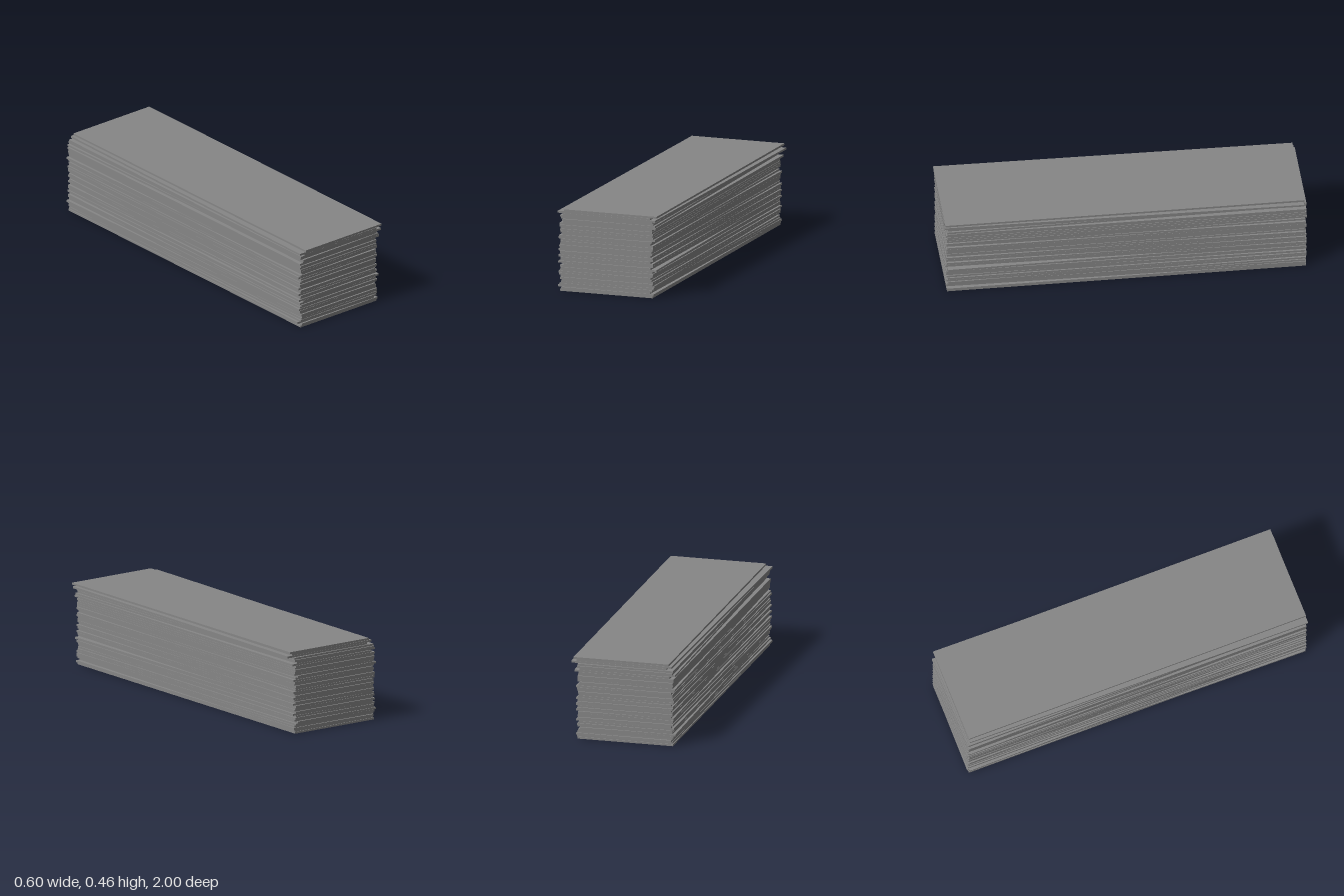
import * as THREE from 'three';

const WIDTH = 0.54, LENGTH = 1.975, THICKNESS = 0.0108, PITCH = 0.01123;

// Each sheet, bottom to top: x of its front left-hand edge (thousandths), sideways drift towards the back (thousandths)
const SHEETS = [
  [-282, 0], [-276, -2], [-298, 24], [-285, 6], [-277, -8], [-273, -23], [-280, 0],
  [-280, 0], [-287, 0], [-293, 21], [-284, 0], [-279, 0], [-284, 0], [-262, -23],
  [-293, 21], [-280, 0], [-280, 0], [-293, 21], [-281, 0], [-281, 0], [-293, 21],
  [-284, 0], [-287, 0], [-284, 0], [-279, 0], [-279, 0], [-293, 21], [-286, 0],
  [-271, -24], [-280, 0], [-281, 0], [-282, 0], [-284, 0], [-286, 0], [-264, 0],
  [-268, -25], [-279, 0], [-281, 0], [-263, 21], [-293, 21], [-255, 0],
];

export function createModel() {
  const group = new THREE.Group();
  group.name = 'sheetStack';
  const material = new THREE.MeshStandardMaterial({ color: 0x868686, flatShading: true });
  const geometry = new THREE.BoxGeometry(WIDTH, THICKNESS, LENGTH);

  SHEETS.forEach(([left, drift], i) => {
    const sheet = new THREE.Mesh(geometry, material);
    sheet.name = `sheet${i + 1}`;
    // The uppermost sheets are pushed forward, the rest vary slightly; a hairline gap parts them
    const z = i > 37 ? 0.011 : 0.004 * Math.sin(i * 2.4) - 0.001;
    sheet.position.set((left + drift / 2) / 1000 + WIDTH / 2, i * PITCH + THICKNESS / 2, z);
    sheet.rotation.y = -drift / 1000 / LENGTH;
    group.add(sheet);
  });
  return group;
}
